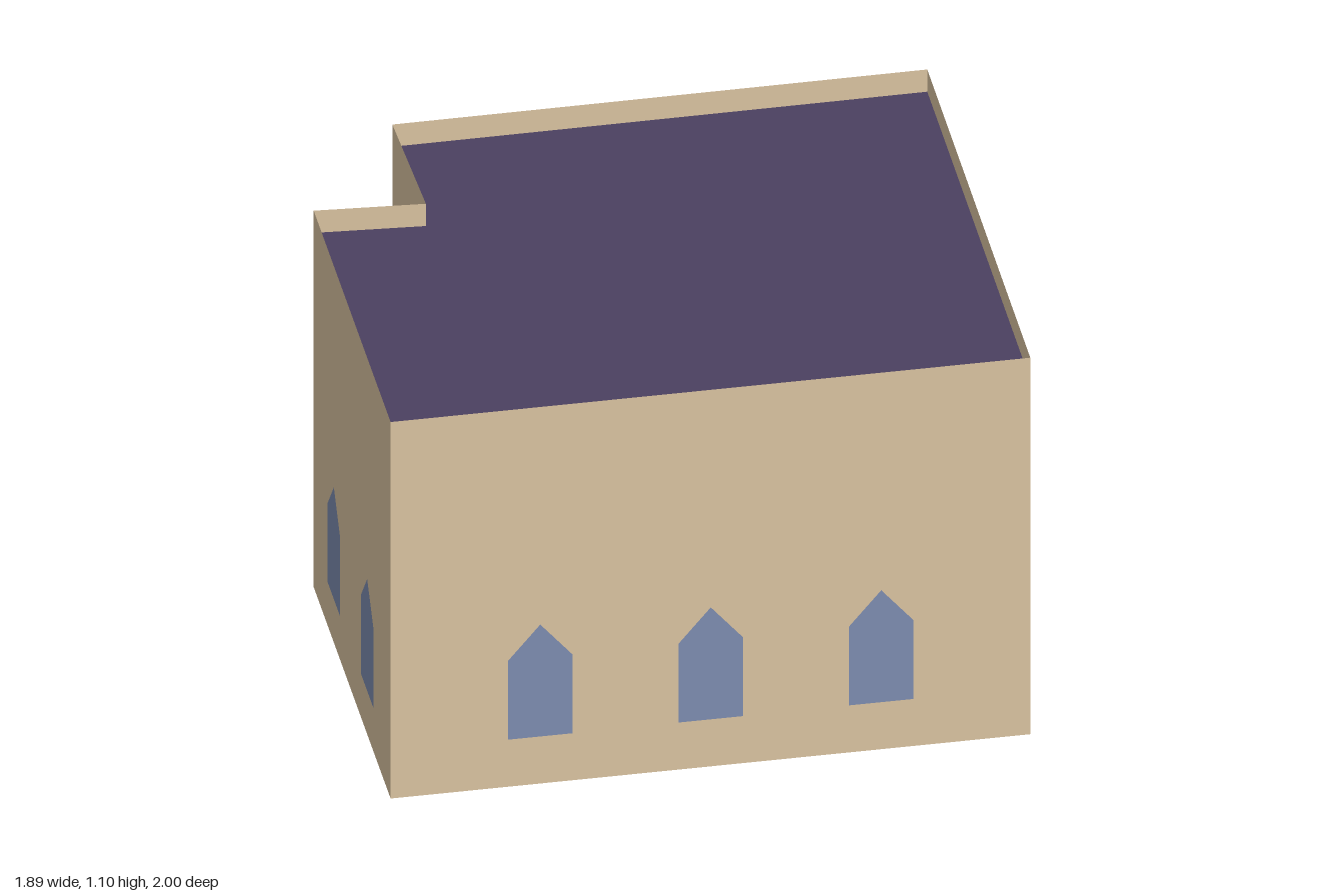
import * as THREE from 'three';

export function createModel() {
  const model = new THREE.Group();
  const sandstone = new THREE.MeshStandardMaterial({ color: 0xd9c2a0, side: THREE.DoubleSide });
  const slate = new THREE.MeshStandardMaterial({ color: 0x4b4060, side: THREE.DoubleSide });
  const glass = new THREE.MeshStandardMaterial({ color: 0x7d8caf, side: THREE.DoubleSide });
  sandstone.name = 'sandstone';
  slate.name = 'purpleSlate';
  glass.name = 'blueGlass';

  const height = 1.1, roofHeight = 1.035, windowSpacing = 0.427;

  // Footprint corners [x, z], and the number of windows on the wall that starts there
  const corners = [
    [-0.4, 0.995, 3],
    [0.942, 0.12, 2],
    [0.203, -1, 2],
    [-0.917, -0.263, 0],
    [-0.702, 0.04, 0],
    [-0.945, 0.175, 2],
  ];

  // Pointed window outline, centred on x
  const windowShape = new THREE.Shape([
    [-0.081, 0.14], [0.081, 0.14], [0.081, 0.37], [0, 0.467], [-0.081, 0.37],
  ].map(([x, y]) => new THREE.Vector2(x, y)));
  const windowGeometry = new THREE.ShapeGeometry(windowShape);

  // Thin walls, open underneath and rising past the roof as a parapet
  corners.forEach(([x, z, windows], i) => {
    const [nextX, nextZ] = corners[(i + 1) % corners.length];
    const length = Math.hypot(nextX - x, nextZ - z);
    const side = new THREE.Group();
    side.name = `wallSide${i + 1}`;
    side.position.set((x + nextX) / 2, 0, (z + nextZ) / 2);
    side.rotation.y = Math.atan2(z - nextZ, nextX - x);

    const wall = new THREE.Mesh(new THREE.PlaneGeometry(length, height), sandstone);
    wall.name = 'wall';
    wall.position.y = height / 2;
    side.add(wall);

    // Evenly spaced windows just proud of the wall
    for (let w = 0; w < windows; w++) {
      const pane = new THREE.Mesh(windowGeometry, glass);
      pane.name = 'window';
      pane.position.set((w - (windows - 1) / 2) * windowSpacing, 0, 0.004);
      side.add(pane);
    }
    model.add(side);
  });

  // Flat roof set a little below the wall tops
  const roofShape = new THREE.Shape(corners.map(([x, z]) => new THREE.Vector2(x, -z)));
  const roof = new THREE.Mesh(new THREE.ShapeGeometry(roofShape).rotateX(-Math.PI / 2), slate);
  roof.name = 'roof';
  roof.position.y = roofHeight;
  model.add(roof);

  return model;
}
